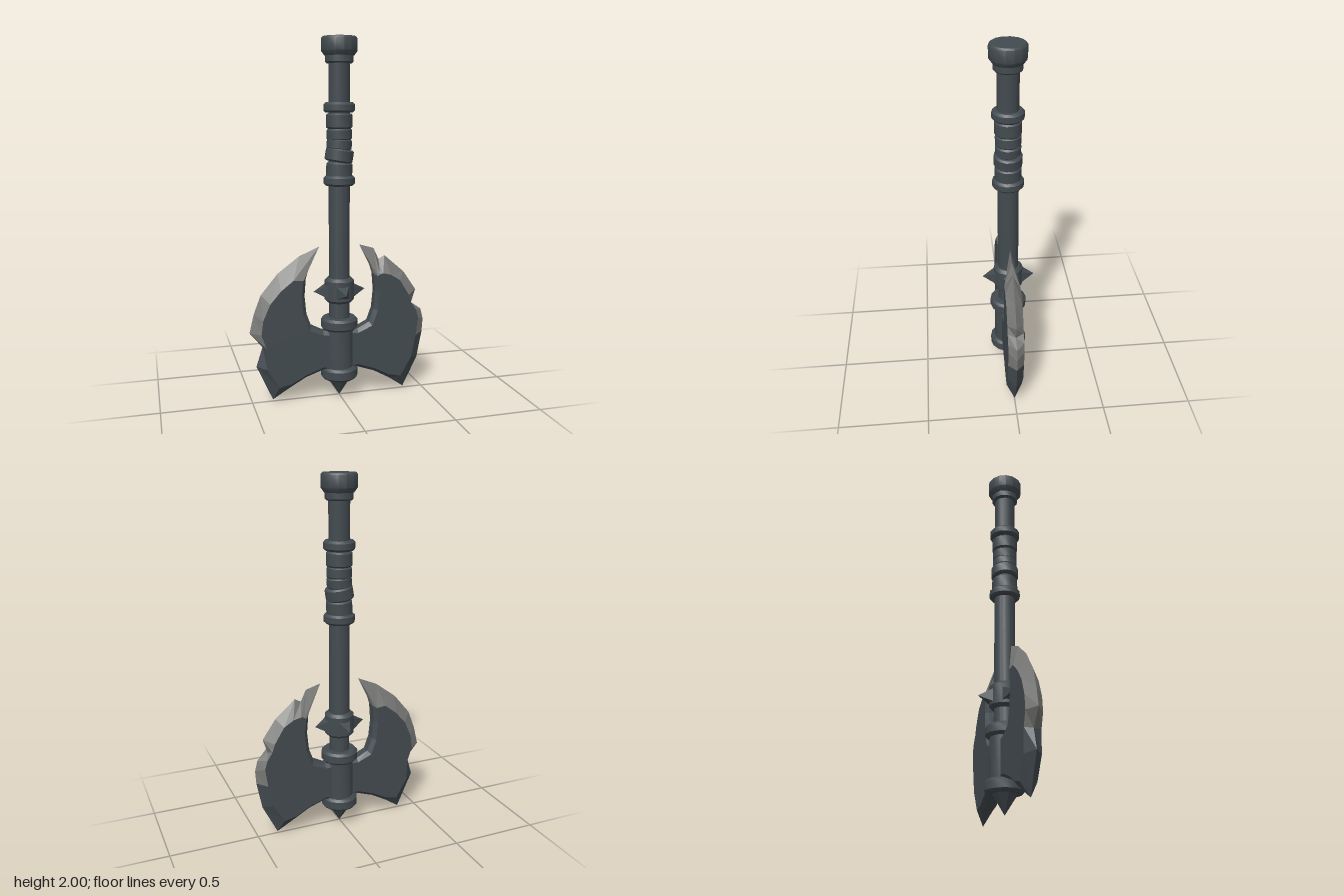
import * as THREE from 'three';
import { toCreasedNormals } from 'three/addons/utils/BufferGeometryUtils.js';

const darkSteel = new THREE.MeshStandardMaterial({ color: 0x434b50 });
darkSteel.name = 'darkSteel';
const brightSteel = new THREE.MeshStandardMaterial({ color: 0x7a7a78 });
brightSteel.name = 'brightSteel';

const HALF = 0.044; // half thickness of the blades

// Lower and upper cutting edges, from the bottom tip up to the horn tip.
// Each row: rim x, rim y, ridge x, ridge y, 1 if the bevel from here on is bright
const chippedEdge = [
  [0.385, 0.01, 0.355, 0.09, 0], [0.47, 0.18, 0.42, 0.2, 0], [0.5, 0.335, 0.445, 0.325, 1],
  [0.505, 0.41, 0.46, 0.43, 1], [0.49, 0.47, 0.445, 0.48, 1], [0.43, 0.51, 0.415, 0.525, 1],
  [0.455, 0.59, 0.4, 0.57, 1], [0.38, 0.7, 0.345, 0.66, 1], [0.265, 0.8, 0.29, 0.695, 1],
  [0.23, 0.78, 0.245, 0.705, 1], [0.2, 0.845, 0.225, 0.7, 1], [0.115, 0.87, 0.215, 0.69, 1],
];
const splitEdge = [
  [0.385, 0.01, 0.355, 0.09, 0], [0.475, 0.21, 0.42, 0.2, 0], [0.44, 0.32, 0.425, 0.325, 1],
  [0.51, 0.405, 0.45, 0.4, 1], [0.485, 0.51, 0.44, 0.48, 1], [0.445, 0.615, 0.4, 0.57, 1],
  [0.35, 0.73, 0.34, 0.64, 1], [0.23, 0.82, 0.27, 0.695, 1], [0.115, 0.87, 0.215, 0.69, 1],
];
// Inside of the horn, the root at the socket and the underside
const innerRim = [
  [0.165, 0.79, 0.215, 0.69, 1], [0.197, 0.7, 0.215, 0.69, 0], [0.205, 0.6, 0.225, 0.6, 0],
  [0.195, 0.5, 0.215, 0.49, 0], [0.168, 0.425, 0.183, 0.405, 0], [0.1, 0.39, 0.1, 0.37, 0],
  [0.04, 0.39, 0.04, 0.37, 0], [0.04, 0.15, 0.04, 0.17, 0], [0.1, 0.165, 0.1, 0.185, 0],
  [0.2, 0.13, 0.2, 0.15, 0], [0.29, 0.08, 0.285, 0.105, 0],
];

function bladeGeometry(edge) {
  const rows = [...edge, ...innerRim];
  const n = rows.length;
  const groups = [[], []]; // dark, bright
  const rimZ = (k) => (k < edge.length ? 0 : k === edge.length ? 0.012 : 0.024);
  const rim = (k, s) => [rows[k][0], rows[k][1], s * rimZ(k)];
  const ridge = (k, s) => [rows[k][2], rows[k][3], s * HALF];
  const quad = (out, a, b, c, d) => out.push(...a, ...b, ...c, ...a, ...c, ...d);
  for (let k = 0; k < n; k++) {
    const j = (k + 1) % n;
    const out = groups[rows[k][4]];
    quad(out, rim(k, 1), rim(j, 1), ridge(j, 1), ridge(k, 1));
    quad(out, ridge(k, -1), ridge(j, -1), rim(j, -1), rim(k, -1));
    if (rimZ(k) + rimZ(j) > 0) quad(out, rim(k, 1), rim(k, -1), rim(j, -1), rim(j, 1));
  }
  // Flat cheeks inside the ridge line
  const cheek = [];
  rows.forEach((r) => {
    const last = cheek[cheek.length - 1];
    if (!last || last.x !== r[2] || last.y !== r[3]) cheek.push(new THREE.Vector2(r[2], r[3]));
  });
  for (const [a, b, c] of THREE.ShapeUtils.triangulateShape(cheek, [])) {
    const at = (i, s) => [cheek[i].x, cheek[i].y, s * HALF];
    groups[0].push(...at(a, 1), ...at(b, 1), ...at(c, 1), ...at(c, -1), ...at(b, -1), ...at(a, -1));
  }
  const g = new THREE.BufferGeometry();
  g.setAttribute('position', new THREE.Float32BufferAttribute([...groups[0], ...groups[1]], 3));
  g.addGroup(0, groups[0].length / 3, 0);
  g.addGroup(groups[0].length / 3, groups[1].length / 3, 1);
  g.computeVertexNormals();
  return g;
}

// Closed band around the shaft with chamfered rims
function bandGeometry(y0, y1, r, c) {
  const profile = [[0, y0], [r - c, y0], [r, y0 + c], [r, y1 - c], [r - c, y1], [0, y1]];
  const lathe = new THREE.LatheGeometry(profile.map((p) => new THREE.Vector2(...p)), 14);
  return toCreasedNormals(lathe, 0.7);
}

export function createModel() {
  const model = new THREE.Group();
  const add = (name, geometry, material = darkSteel) => {
    const mesh = new THREE.Mesh(geometry, material);
    mesh.name = name;
    model.add(mesh);
    return mesh;
  };

  // Shaft, pommel, grip rings and socket: name, bottom, top, radius, chamfer
  [
    ['shaft', 0.1, 1.9, 0.058, 0.002],
    ['pommelNeck', 1.86, 1.92, 0.076, 0.008],
    ['gripRingTop', 1.6, 1.655, 0.086, 0.012],
    ['gripRingBottom', 1.205, 1.26, 0.086, 0.012],
    ['spikeCollar', 0.55, 0.69, 0.083, 0.016],
    ['socketCollarTop', 0.395, 0.462, 0.104, 0.013],
    ['socket', 0.16, 0.41, 0.08, 0.002],
    ['socketCollarBottom', 0.105, 0.175, 0.104, 0.013],
  ].forEach(([name, ...size]) => add(name, bandGeometry(...size)));

  const pommel = [[0, 1.9], [0.08, 1.9], [0.098, 1.925], [0.098, 1.99], [0.09, 2], [0, 2]];
  add('pommel', toCreasedNormals(
    new THREE.LatheGeometry(pommel.map((p) => new THREE.Vector2(...p)), 14), 0.7));

  // Leather-style wrap: bands of uneven width, some tilted
  [
    [1.555, 0.082, 0.072, 0], [1.483, 0.064, 0.069, 0.03], [1.43, 0.06, 0.069, -0.08],
    [1.37, 0.072, 0.077, -0.16], [1.29, 0.085, 0.072, -0.05],
  ].forEach(([y, h, r, tilt]) => {
    const band = add('gripWrap', bandGeometry(-h / 2, h / 2, r, 0.009));
    band.position.y = y;
    band.rotation.z = tilt;
  });

  // Four square spikes around the collar
  const spike = new THREE.ConeGeometry(0.054, 0.08, 4).toNonIndexed();
  spike.computeVertexNormals();
  spike.rotateY(Math.PI / 4).rotateX(Math.PI / 2).translate(0, 0, 0.108);
  for (let i = 0; i < 4; i++) {
    const s = add('collarSpike', spike);
    s.position.y = 0.615;
    s.rotation.y = (i * Math.PI) / 2;
  }

  // Point below the socket
  const point = new THREE.ConeGeometry(0.068, 0.106, 8).toNonIndexed();
  point.computeVertexNormals();
  const tip = add('bottomPoint', point);
  tip.rotation.x = Math.PI;
  tip.position.y = 0.053;

  // Twin blades
  add('leftBlade', bladeGeometry(chippedEdge), [darkSteel, brightSteel]);
  add('rightBlade', bladeGeometry(splitEdge), [darkSteel, brightSteel]).rotation.y = Math.PI;

  return model;
}
